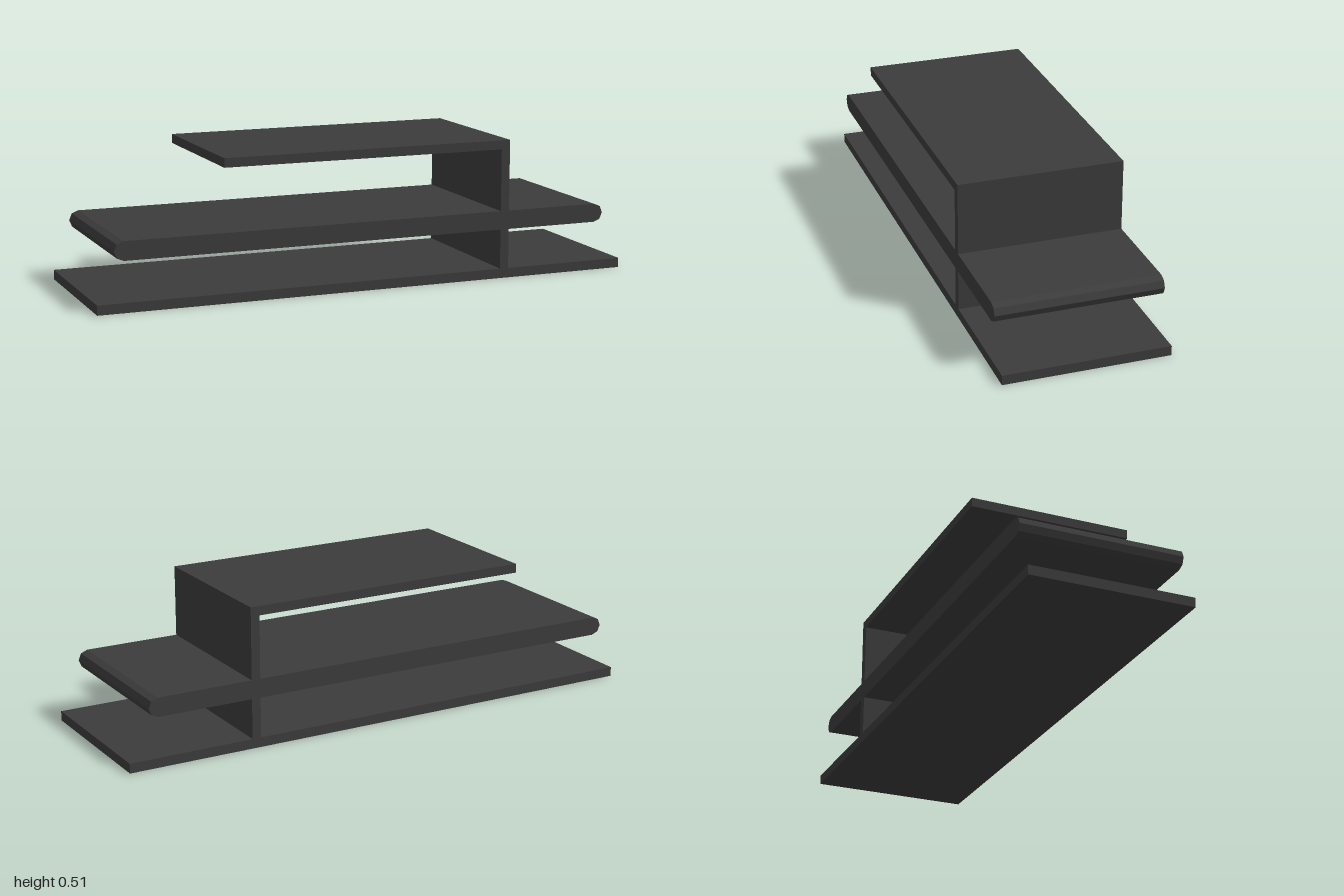
import * as THREE from 'three';

const DEPTH = 0.594;

export function createModel() {
  const model = new THREE.Group();
  const charcoal = new THREE.MeshStandardMaterial({ color: 0x3c3c3c });
  charcoal.name = 'charcoal';

  // Every part is a front profile extruded through the full depth
  const addPart = (name, points) => {
    const shape = new THREE.Shape(points.map(([x, y]) => new THREE.Vector2(x, y)));
    const geometry = new THREE.ExtrudeGeometry(shape, { depth: DEPTH, bevelEnabled: false });
    geometry.translate(0, 0, -DEPTH / 2);
    const mesh = new THREE.Mesh(geometry, charcoal);
    mesh.name = name;
    model.add(mesh);
  };

  // Flat base plate
  addPart('basePlate', [[-1, 0], [1, 0], [1, 0.035], [-1, 0.035]]);

  // Middle shelf with faceted half-round ends
  const radius = 0.034, centreY = 0.214, left = -0.904, right = 0.891;
  const outline = [];
  for (const [x, start] of [[right, -Math.PI / 2], [left, Math.PI / 2]]) {
    for (let i = 0; i <= 4; i++) {
      const a = start + (i * Math.PI) / 4;
      outline.push([x + radius * Math.cos(a), centreY + radius * Math.sin(a)]);
    }
  }
  addPart('middleShelf', outline);

  // Upright panel and cantilevered top plate in one bent piece
  addPart('uprightAndTop', [
    [0.507, 0.035], [0.54, 0.035], [0.54, 0.507],
    [-0.545, 0.507], [-0.545, 0.474], [0.507, 0.474],
  ]);

  return model;
}
